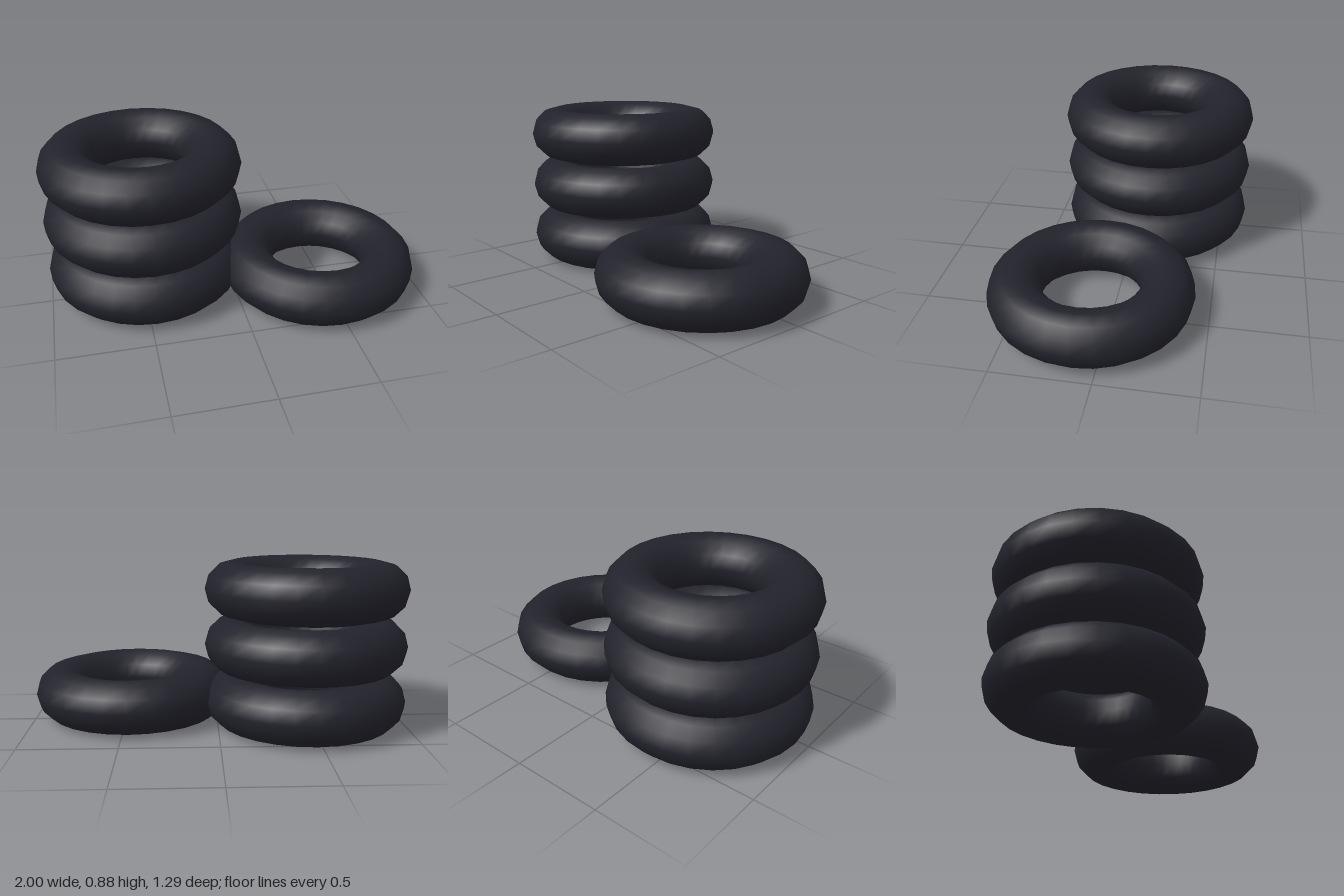
import * as THREE from 'three';

export function createModel() {
  const group = new THREE.Group();
  const rubber = new THREE.MeshStandardMaterial({ color: 0x22222c });
  rubber.name = 'dark rubber';

  // One tyre ring, laid flat
  const ring = 0.392, tube = 0.142;
  const geometry = new THREE.TorusGeometry(ring, tube, 12, 28).rotateX(-Math.PI / 2);

  function addTyre(name, x, y, z) {
    const tyre = new THREE.Mesh(geometry, rubber);
    tyre.name = name;
    tyre.position.set(x, y, z);
    group.add(tyre);
  }

  // Stack of three with a small gap between them
  const names = ['bottomTyre', 'middleTyre', 'topTyre'];
  names.forEach((name, i) => addTyre(name, -0.466, tube + i * 0.296, -0.11));

  // Loose tyre lying against the stack
  addTyre('looseTyre', 0.466, tube, 0.11);

  return group;
}
